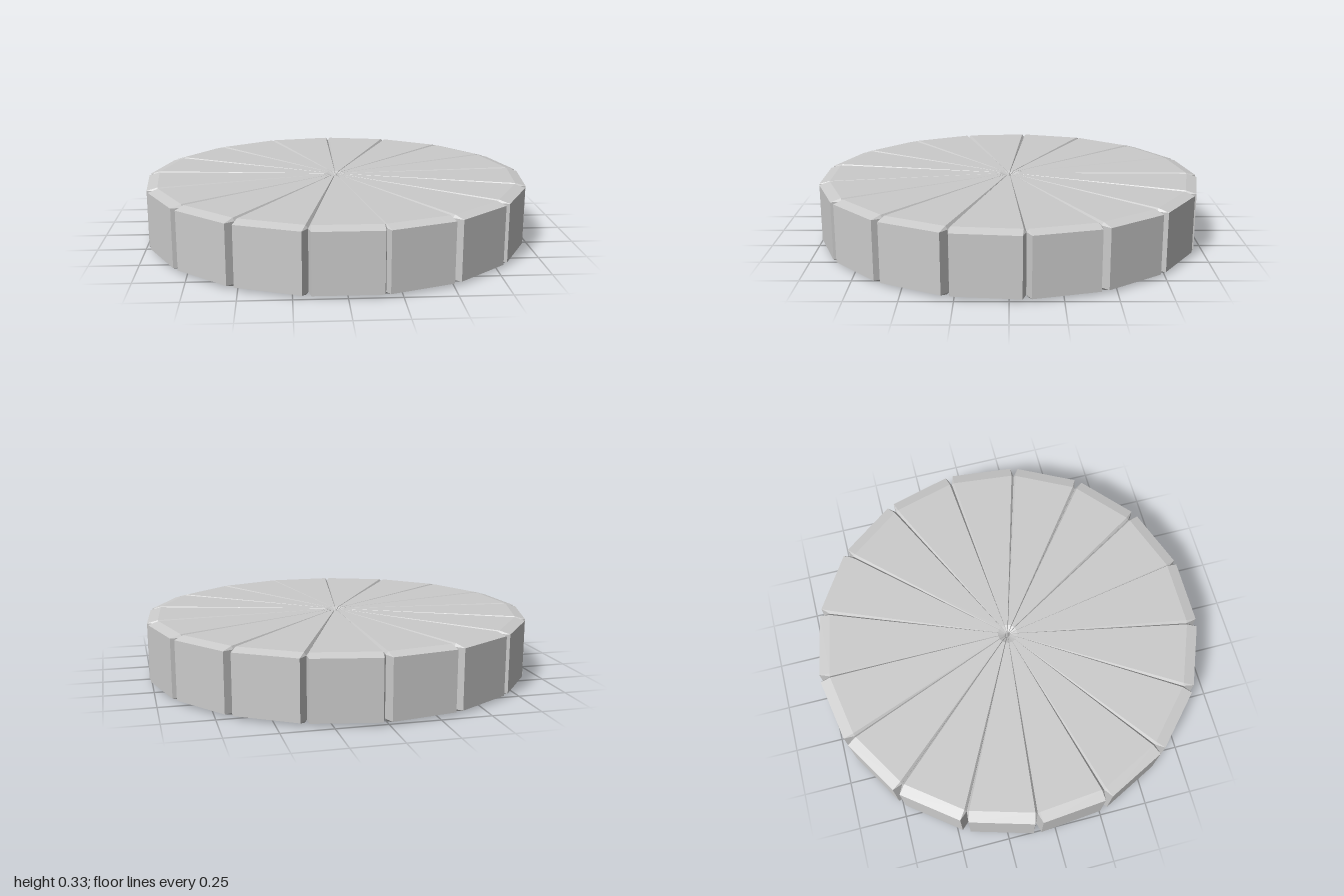
import * as THREE from 'three';
import { ConvexGeometry } from 'three/addons/geometries/ConvexGeometry.js';

const COUNT = 17;
const STEP = THREE.MathUtils.degToRad(21.23);
const HEIGHT = 0.33;
const BEVEL = 0.015;

// One bevelled pie slice pointing along +z, tip at the centre
function wedgeGeometry() {
  const points = [];
  const add = (x, z, inset) => {
    for (const sx of [-x, x]) {
      for (const y of [inset, HEIGHT - inset]) points.push(new THREE.Vector3(sx, y, z));
    }
  };
  add(0.165, 0.945, 0); // top and bottom faces
  add(0.008, 0.05, 0);
  add(0.177, 0.945, BEVEL); // side walls
  add(0.0056, 0.03, BEVEL);
  add(0.166, 1, BEVEL); // outer rim face
  add(0.001, 0.012, BEVEL); // inner tip
  return new ConvexGeometry(points);
}

export function createModel() {
  const model = new THREE.Group();
  model.name = 'segmentedDisc';
  const material = new THREE.MeshStandardMaterial({ color: 0xcccccc, flatShading: true });
  const geometry = wedgeGeometry();

  // Ring of slices, leaving one slightly tighter joint at the end
  for (let i = 0; i < COUNT; i++) {
    const wedge = new THREE.Mesh(geometry, material);
    wedge.name = `wedge${i + 1}`;
    wedge.rotation.y = -i * STEP;
    model.add(wedge);
  }
  return model;
}
